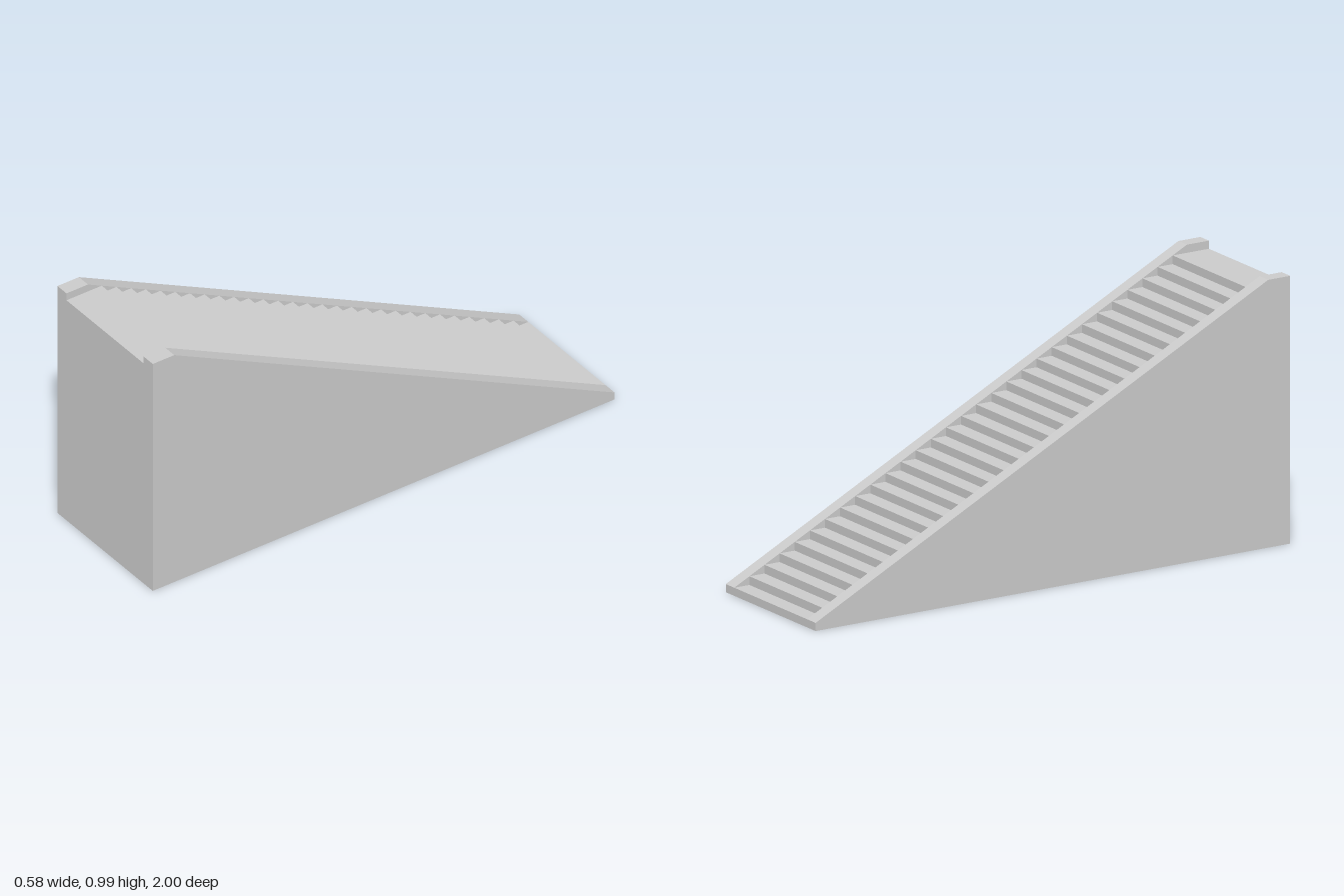
import * as THREE from 'three';

const HALF = 0.29, INNER = 0.235;       // half width, inner edge of the curbs
const STEPS = 29, RUN = 0.0637;         // risers and tread depth
const LOW = 0.03, LANDING = 0.955, TOP = 0.985;
const RISE = (LANDING - LOW) / STEPS;
const CREST = -1 + (TOP - LOW) * RUN / RISE; // where the sloped curb levels off

const material = new THREE.MeshStandardMaterial({
  color: 0xcccccc, flatShading: true, side: THREE.DoubleSide,
});

function addMesh(parent, name, geometry) {
  const mesh = new THREE.Mesh(geometry, material);
  mesh.name = name;
  parent.add(mesh);
}

// Sweep a [z, y] path straight across from x0 to x1
function strip(path, x0, x1) {
  const pos = [];
  for (let i = 0; i < path.length - 1; i++) {
    const [za, ya] = path[i], [zb, yb] = path[i + 1];
    pos.push(x0, ya, za, x0, yb, zb, x1, yb, zb);
    pos.push(x0, ya, za, x1, yb, zb, x1, ya, za);
  }
  const geometry = new THREE.BufferGeometry();
  geometry.setAttribute('position', new THREE.Float32BufferAttribute(pos, 3));
  geometry.computeVertexNormals();
  return geometry;
}

// Flat upright panels from [z, y] outlines, standing at x and facing -x
function panel(outlines, x) {
  const shapes = outlines.map((o) => new THREE.Shape(o.map(([z, y]) => new THREE.Vector2(z, y))));
  return new THREE.ShapeGeometry(shapes).rotateY(-Math.PI / 2).translate(x, 0, 0);
}

export function createModel() {
  const model = new THREE.Group();
  model.name = 'staircase';

  // Hollow flight: low back lip, steps, landing and front wall, open below
  const flight = [[-1, 0], [-1, LOW]];
  const cheeks = [];
  for (let i = 1; i <= STEPS; i++) {
    const z = -1 + i * RUN, y = LOW + i * RISE;
    flight.push([z, y - RISE], [z, y]);
    cheeks.push([[z - RUN, y - RISE], [z, y - RISE], [z, y]]);
  }
  flight.push([1, LANDING], [1, 0]);
  cheeks.push([[-1 + STEPS * RUN, LANDING], [1, LANDING], [1, TOP], [CREST, TOP]]);
  addMesh(model, 'steps', strip(flight, -INNER, INNER));

  // Sloped curbs and side walls, mirrored left and right
  const profile = [[-1, 0], [-1, LOW], [CREST, TOP], [1, TOP], [1, 0]];
  for (const side of [-1, 1]) {
    const half = new THREE.Group();
    half.name = side > 0 ? 'leftSide' : 'rightSide';
    half.scale.x = -side;
    addMesh(half, 'curb', strip(profile, -HALF, -INNER));
    addMesh(half, 'sideWall', panel([profile], -HALF));
    addMesh(half, 'curbInnerFace', panel(cheeks, -INNER));
    model.add(half);
  }
  return model;
}
